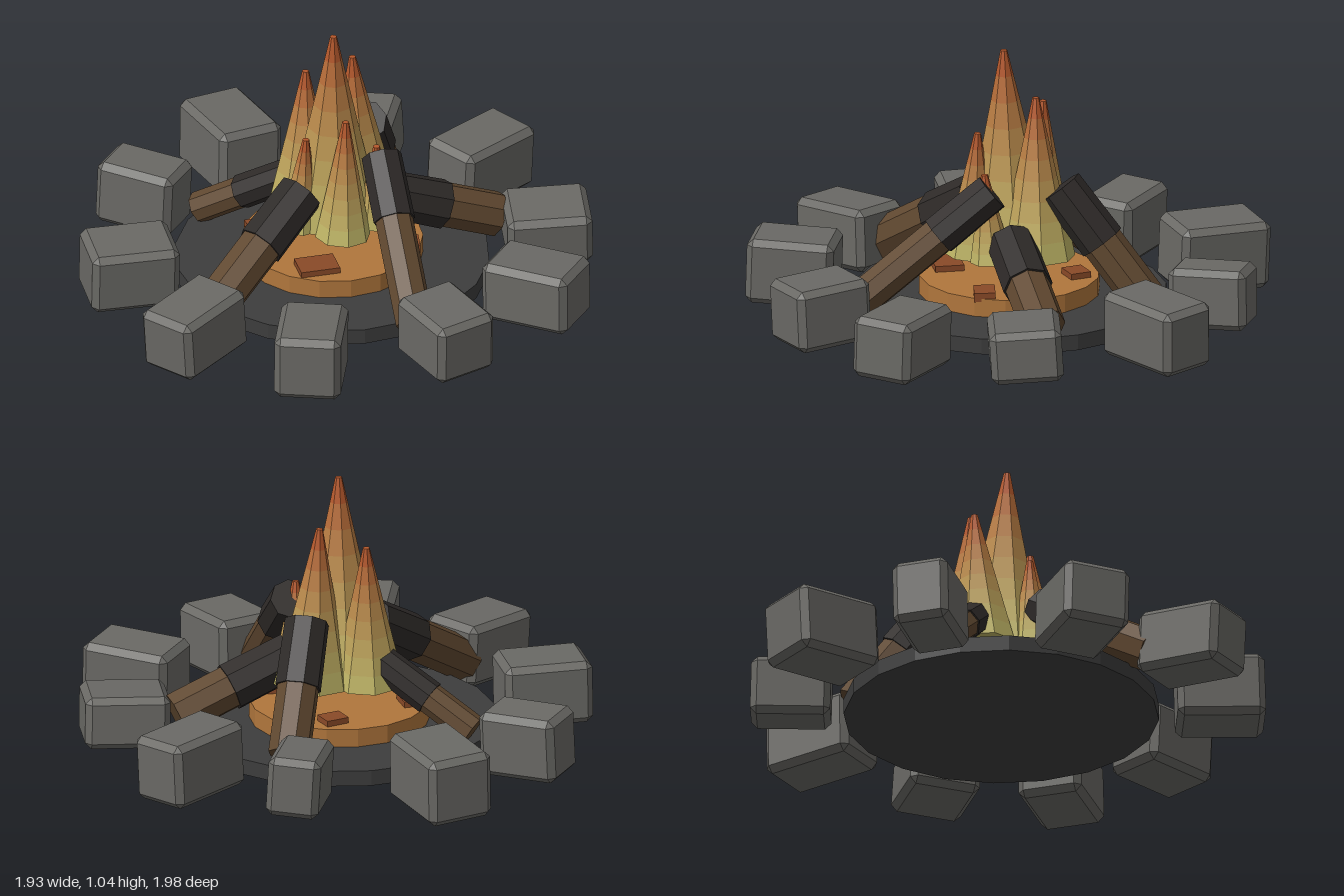
import * as THREE from 'three';
import { ConvexGeometry } from 'three/addons/geometries/ConvexGeometry.js';

const UP = new THREE.Vector3(0, 1, 0);

function mat(color) {
  return new THREE.MeshStandardMaterial({ color, flatShading: true });
}

function addMesh(parent, name, geometry, material) {
  const mesh = new THREE.Mesh(geometry, material);
  mesh.name = name;
  parent.add(mesh);
  return mesh;
}

// Box with one flat chamfer on every edge
function chamferedBox(w, h, d, c) {
  const points = [];
  for (const x of [-1, 1]) for (const y of [-1, 1]) for (const z of [-1, 1]) {
    const [X, Y, Z] = [w / 2, h / 2, d / 2];
    points.push(
      new THREE.Vector3(x * X, y * (Y - c), z * (Z - c)),
      new THREE.Vector3(x * (X - c), y * Y, z * (Z - c)),
      new THREE.Vector3(x * (X - c), y * (Y - c), z * Z));
  }
  return new ConvexGeometry(points);
}

// Frustum running between two points
function rod(parent, name, from, to, rFrom, rTo, sides, material) {
  const dir = to.clone().sub(from);
  const geometry = new THREE.CylinderGeometry(rTo, rFrom, dir.length(), sides);
  const mesh = addMesh(parent, name, geometry, material);
  mesh.position.copy(from).add(to).multiplyScalar(0.5);
  mesh.quaternion.setFromUnitVectors(UP, dir.normalize());
  return mesh;
}

export function createModel() {
  const model = new THREE.Group();
  model.name = 'campfire';

  // Ash bed and glowing ember bed
  const ash = addMesh(model, 'ashBed', new THREE.CylinderGeometry(0.59, 0.59, 0.06, 20), mat(0x3d3d3d));
  ash.position.set(-0.015, 0.07, 0.01);
  const bed = addMesh(model, 'emberBed', new THREE.CylinderGeometry(0.34, 0.34, 0.07, 18), mat(0xb0763c));
  bed.position.set(-0.015, 0.135, 0.012);

  // Flat coals on the ember bed: x, z, width, depth, turn
  const coalMat = mat(0x8a4a28);
  for (const [x, z, w, d, turn] of [
    [-0.12, 0.235, 0.15, 0.11, 0.05], [-0.27, -0.09, 0.09, 0.1, 0.1],
    [0.06, -0.23, 0.09, 0.08, 0.3], [0.24, 0.14, 0.1, 0.08, -0.1],
  ]) {
    const coal = addMesh(model, 'coal', new THREE.BoxGeometry(w, 0.035, d), coalMat);
    coal.position.set(x, 0.175, z);
    coal.rotation.y = turn;
  }

  // Ring of stones: x, z, length, width, height, long-axis dx, dz, pitch, roll
  const stoneMat = mat(0x6a6965);
  const stones = new THREE.Group();
  stones.name = 'stoneRing';
  model.add(stones);
  for (const [x, z, l, w, h, dx, dz, pitch, roll] of [
    [-0.235, -0.79, 0.36, 0.26, 0.26, -19, -67, -0.03, 0.03],
    [0.285, -0.715, 0.3, 0.2, 0.23, 23, -55, 0.03, -0.05],
    [0.65, -0.455, 0.37, 0.235, 0.25, 57, -40, -0.03, 0.03],
    [0.795, 0.06, 0.32, 0.27, 0.2, 61, 6, 0.02, 0.06],
    [0.66, 0.505, 0.35, 0.245, 0.235, 53, 40, 0.02, -0.02],
    [0.26, 0.76, 0.31, 0.25, 0.24, 22, 55, -0.04, 0.02],
    [-0.26, 0.79, 0.33, 0.25, 0.25, -19, 60, 0.03, 0],
    [-0.65, 0.53, 0.35, 0.24, 0.24, -52, 41, -0.06, 0.02],
    [-0.795, 0.037, 0.335, 0.26, 0.24, -60, 1, 0.01, -0.03],
    [-0.625, -0.505, 0.31, 0.215, 0.25, -46, -35, 0.03, 0.03],
  ]) {
    const stone = addMesh(stones, 'stone', chamferedBox(l, h, w, 0.024), stoneMat);
    stone.position.set(x, 0.148, z);
    stone.rotation.set(roll, Math.atan2(-dz, dx), pitch, 'YZX');
  }

  // Leaning logs with charred inner ends: inner point, outer point, radius
  const woodMat = mat(0x604830);
  const charMat = mat(0x2e2a28);
  const logs = [
    [[-0.155, 0.43, 0.11], [-0.57, 0.13, 0.41], 0.084],
    [[0.155, 0.545, 0.1], [0.17, 0.12, 0.63], 0.072],
    [[0.145, 0.55, -0.16], [0.275, 0.14, -0.46], 0.08],
    [[0.17, 0.345, 0.03], [0.62, 0.165, -0.03], 0.086],
    [[-0.12, 0.38, -0.13], [-0.45, 0.14, -0.35], 0.06],
  ];
  for (const [inner, outer, r] of logs) {
    const log = new THREE.Group();
    log.name = 'log';
    model.add(log);
    const a = new THREE.Vector3(...inner);
    const b = new THREE.Vector3(...outer);
    const split = a.clone().lerp(b, 0.26 / a.distanceTo(b));
    rod(log, 'wood', b, split, r, r, 8, woodMat);
    rod(log, 'charredEnd', split, a, r * 1.1, r * 1.06, 8, charMat);
  }

  // Flames in stacked colour bands: base x, z, tip x, z, bottom, top, radius
  const low = new THREE.Color(0xbfb566);
  const high = new THREE.Color(0xb4582c);
  const BANDS = 8;
  const bandMats = Array.from({ length: BANDS }, (_, i) =>
    mat(low.clone().lerp(high, i / (BANDS - 1))));
  for (const [bx, bz, tx, tz, bottom, top, radius] of [
    [-0.015, 0.01, -0.015, 0.033, 0.27, 1.045, 0.18],
    [0.11, -0.075, 0.08, -0.075, 0.27, 0.885, 0.145],
    [-0.1, -0.1, -0.088, -0.125, 0.27, 0.815, 0.135],
    [-0.005, 0.155, 0.01, 0.135, 0.255, 0.73, 0.105],
    [-0.155, 0.075, -0.13, 0.08, 0.27, 0.64, 0.08],
    [0.14, 0.1, 0.13, 0.125, 0.27, 0.605, 0.08],
  ]) {
    const flame = new THREE.Group();
    flame.name = 'flame';
    model.add(flame);
    const base = new THREE.Vector3(bx, bottom, bz);
    const tip = new THREE.Vector3(tx, top, tz);
    const at = (t) => base.clone().lerp(tip, t);
    const radiusAt = (t) => THREE.MathUtils.lerp(radius, 0.013, t);
    for (let i = 0; i < BANDS; i++) {
      const t0 = i / BANDS, t1 = (i + 1) / BANDS;
      rod(flame, 'flameBand', at(t0), at(t1), radiusAt(t0), radiusAt(t1), 8, bandMats[i]);
    }
  }

  return model;
}
